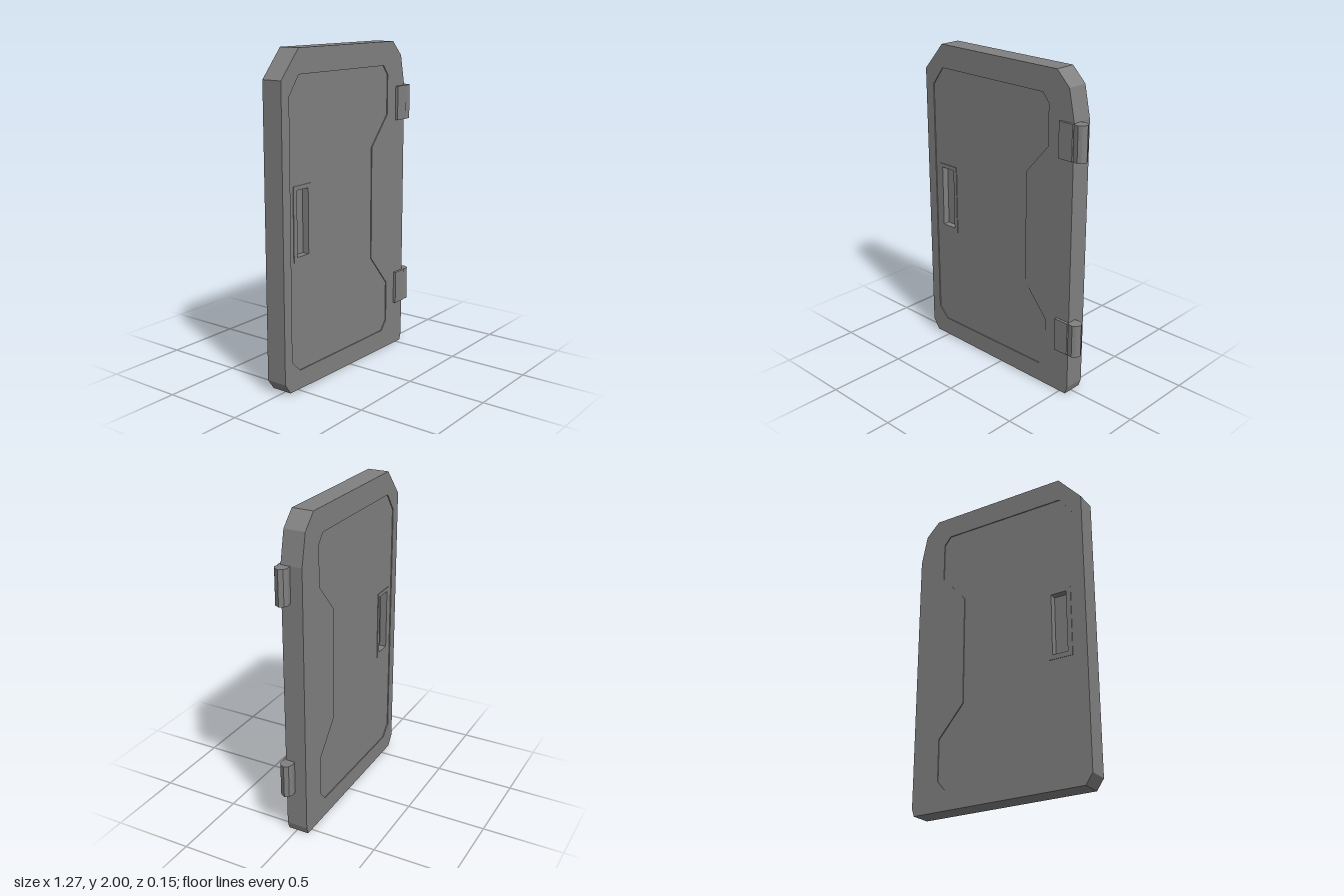
import * as THREE from 'three';

const FRONT = 0.057, BACK = -0.076;

const grey = new THREE.MeshStandardMaterial({ color: 0x808080 });
grey.name = 'grey metal';

const outline = [
  [-0.635, 0.08], [-0.59, 0.015], [0.545, 0.003], [0.56, 0.05], [0.56, 1.72],
  [0.52, 1.91], [0.43, 2], [-0.485, 2], [-0.635, 1.83],
];
const panelOutline = [
  [-0.57, 0.2], [-0.5, 0.13], [0.33, 0.13], [0.38, 0.19], [0.38, 0.45], [0.21, 0.65],
  [0.21, 1.36], [0.375, 1.55], [0.375, 1.8], [0.33, 1.855], [-0.485, 1.855], [-0.57, 1.74],
];
const rect = (x0, x1, y0, y1) => [[x0, y0], [x1, y0], [x1, y1], [x0, y1]];
const pocketOutline = rect(-0.51, -0.41, 0.82, 1.21);
const rimOutline = rect(-0.54, -0.385, 0.79, 1.235);

// Flat-faced slab between two depths, with an optional hole
function slab(name, points, z0, z1, hole) {
  const toVectors = (list) => list.map(([x, y]) => new THREE.Vector2(x, y));
  const shape = new THREE.Shape(toVectors(points));
  if (hole) shape.holes.push(new THREE.Path(toVectors(hole)));
  const geometry = new THREE.ExtrudeGeometry(shape, { depth: z1 - z0, bevelEnabled: false });
  geometry.translate(0, 0, z0);
  const mesh = new THREE.Mesh(geometry, grey);
  mesh.name = name;
  return mesh;
}

// Hinge: a leaf on the door face and a faceted knuckle beyond its edge
function hinge(name, bottom, height) {
  const group = new THREE.Group();
  group.name = name;
  group.add(slab('hingeLeaf', rect(0.465, 0.562, bottom, bottom + height), 0.02, 0.074));

  const section = [
    [0.555, 0], [0.595, -0.006], [0.62, 0.005], [0.635, 0.03], [0.62, 0.06],
    [0.6, 0.073], [0.575, 0.07], [0.555, 0.06],
  ];
  const shape = new THREE.Shape(section.map(([x, z]) => new THREE.Vector2(x, -z)));
  const geometry = new THREE.ExtrudeGeometry(shape, { depth: height, bevelEnabled: false });
  geometry.rotateX(-Math.PI / 2);
  geometry.translate(0, bottom, 0);
  const knuckle = new THREE.Mesh(geometry, grey);
  knuckle.name = 'hingeKnuckle';
  group.add(knuckle);
  return group;
}

export function createModel() {
  const door = new THREE.Group();
  door.name = 'door';

  // Outer frame with the slightly sunken panel inside it
  door.add(slab('frame', outline, BACK, FRONT, panelOutline));
  door.add(slab('panel', panelOutline, BACK + 0.006, FRONT - 0.006, pocketOutline));

  // Handle pockets on both faces share one floor slab
  door.add(slab('handlePocketFloor', pocketOutline, -0.03, 0.012));
  door.add(slab('frontHandleRim', rimOutline, FRONT - 0.007, FRONT - 0.002, pocketOutline));
  door.add(slab('backHandleRim', rimOutline, BACK + 0.002, BACK + 0.007, pocketOutline));

  // Hinges on the model's left edge
  door.add(hinge('lowerHinge', 0.288, 0.21));
  door.add(hinge('upperHinge', 1.505, 0.215));
  return door;
}
